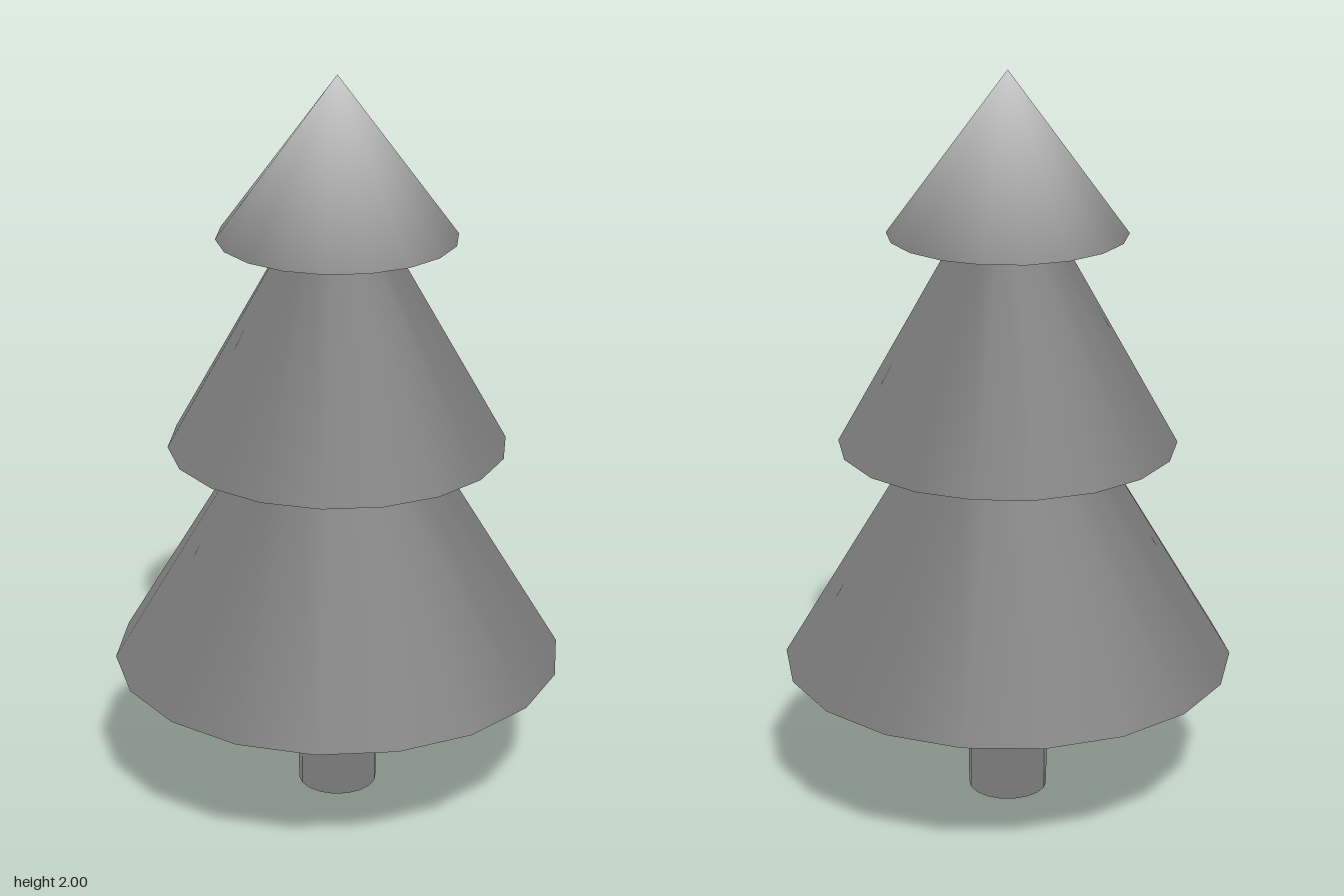
import * as THREE from 'three';

const SIDES = 18;

// Radius and height of the whole tree outline, from the ground to the tip
const PROFILE = [
  [0, 0], [0.107, 0], [0.107, 0.395],
  [0.605, 0.395], [0.24, 1.005],
  [0.45, 1.005], [0.132, 1.575],
  [0.315, 1.575], [0, 2],
].map(([r, y]) => new THREE.Vector2(r, y));

// Soft shading: each outline point takes the mean of its two neighbouring slopes
const slopes = PROFILE.slice(1).map((p, i) => {
  const d = p.clone().sub(PROFILE[i]).normalize();
  return new THREE.Vector2(d.y, -d.x);
});
const NORMALS = PROFILE.map((p, i) => {
  if (i === 0) return new THREE.Vector2(0, -1);
  if (i === PROFILE.length - 1) return new THREE.Vector2(0, 1);
  return slopes[i - 1].clone().add(slopes[i]).normalize();
});

// Revolve the outline points from first to last
function revolve(name, first, last, material) {
  const points = PROFILE.slice(first, last + 1);
  const geometry = new THREE.LatheGeometry(points, SIDES);
  const normal = geometry.attributes.normal;
  for (let v = 0; v < normal.count; v++) {
    const n = NORMALS[first + (v % points.length)];
    const angle = (Math.floor(v / points.length) / SIDES) * Math.PI * 2;
    normal.setXYZ(v, n.x * Math.sin(angle), n.y, n.x * Math.cos(angle));
  }
  const mesh = new THREE.Mesh(geometry, material);
  mesh.name = name;
  return mesh;
}

export function createModel() {
  const tree = new THREE.Group();
  tree.name = 'tree';
  const material = new THREE.MeshStandardMaterial({ color: 0xcccccc });

  // Trunk, then three tiers, each with its flat underside
  tree.add(
    revolve('trunk', 0, 2, material),
    revolve('lowerTier', 2, 4, material),
    revolve('middleTier', 4, 6, material),
    revolve('topTier', 6, 8, material),
  );
  return tree;
}
